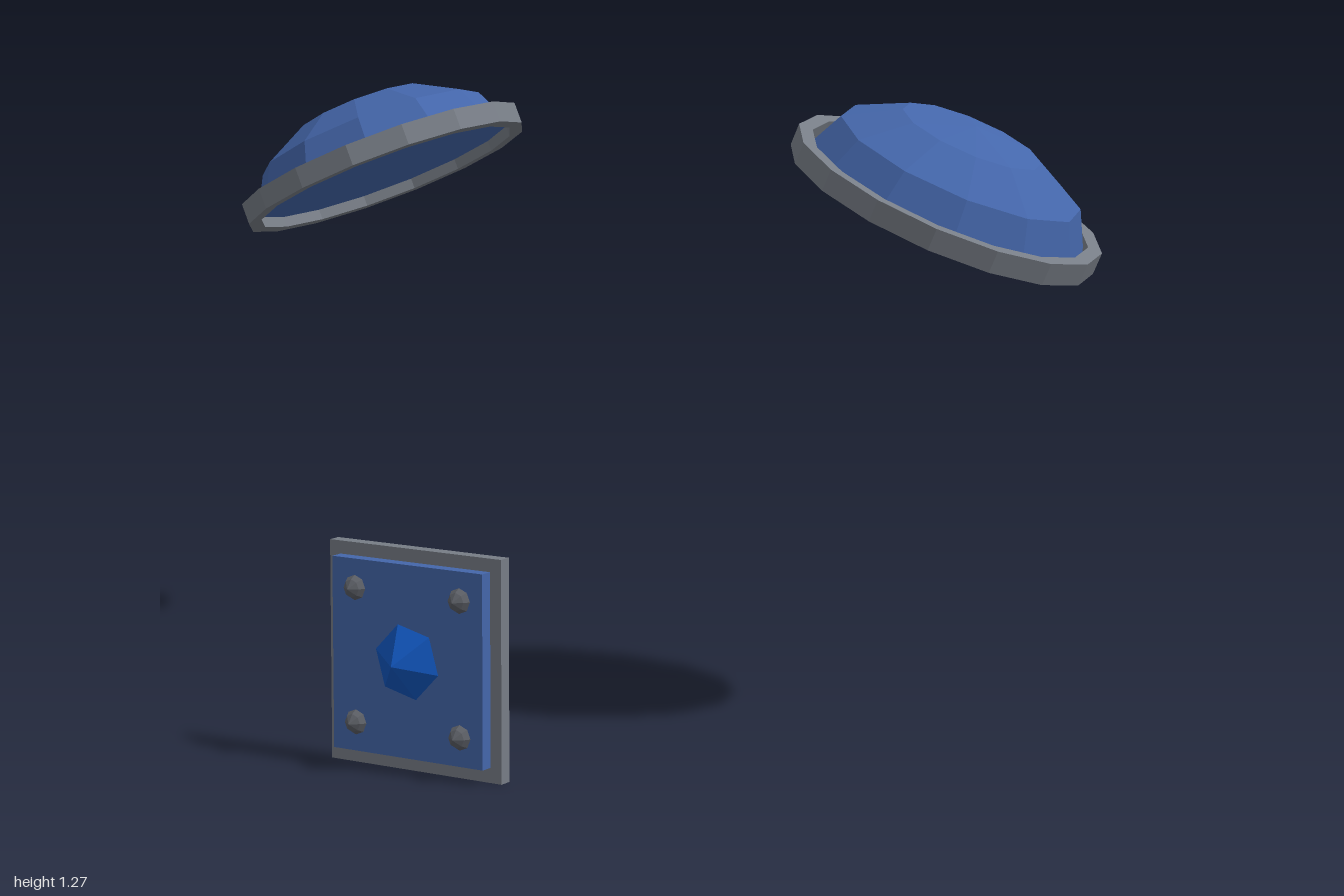
import * as THREE from 'three';

const mat = (color) => new THREE.MeshStandardMaterial({ color, flatShading: true });

function add(parent, name, geometry, material, x = 0, y = 0, z = 0) {
  const mesh = new THREE.Mesh(geometry, material);
  mesh.name = name;
  mesh.position.set(x, y, z);
  parent.add(mesh);
  return mesh;
}

export function createModel() {
  const model = new THREE.Group();
  model.name = 'shoulderAndChestArmour';
  const metal = mat(0x777d86);
  const blue = mat(0x4466aa);
  const gemBlue = mat(0x1155bb);
  const studGrey = mat(0x5c5f66);

  // Shoulder guards: shallow faceted domes in a flat rim, sloping down outwards
  const domeGeo = new THREE.SphereGeometry(0.3, 12, 3, 0, Math.PI * 2, 0, Math.PI / 2);
  domeGeo.scale(1, 0.533, 1);
  const baseGeo = new THREE.CircleGeometry(0.3, 16).rotateX(Math.PI / 2);
  const rimProfile = [[0.3, -0.023], [0.33, -0.023], [0.33, 0.023], [0.3, 0.023], [0.3, -0.023]]
    .map(([r, y]) => new THREE.Vector2(r, y));
  const rimGeo = new THREE.LatheGeometry(rimProfile, 16);

  for (const [side, s] of [['left', 1], ['right', -1]]) {
    const guard = new THREE.Group();
    guard.name = side + 'ShoulderGuard';
    guard.position.set(s * 0.687, 1.078, -0.32);
    guard.rotation.z = -s * 0.42;
    guard.scale.z = 0.925;
    add(guard, 'dome', domeGeo, blue);
    add(guard, 'domeUnderside', baseGeo, blue);
    add(guard, 'rim', rimGeo, metal);
    model.add(guard);
  }

  // Chest plate: metal backing with a raised blue panel
  const plate = new THREE.Group();
  plate.name = 'chestPlate';
  model.add(plate);
  add(plate, 'backing', new THREE.BoxGeometry(0.4, 0.436, 0.027), metal, 0, 0.218, 0.5315);
  add(plate, 'panel', new THREE.BoxGeometry(0.35, 0.38, 0.027), blue, 0, 0.22, 0.5585);

  // Six-sided pointed gem, turned slightly about its axis
  const gemGeo = new THREE.ConeGeometry(0.075, 0.053, 6).rotateX(Math.PI / 2).rotateZ(0.28);
  add(plate, 'gem', gemGeo, gemBlue, 0, 0.22, 0.5985);

  // Corner studs
  const studProfile = [[0.025, 0], [0.018, 0.012], [0, 0.025]]
    .map(([r, y]) => new THREE.Vector2(r, y));
  const studGeo = new THREE.LatheGeometry(studProfile, 8).rotateX(Math.PI / 2);
  for (const x of [-0.122, 0.122]) {
    for (const y of [0.087, 0.353]) add(plate, 'stud', studGeo, studGrey, x, y, 0.572);
  }

  return model;
}
